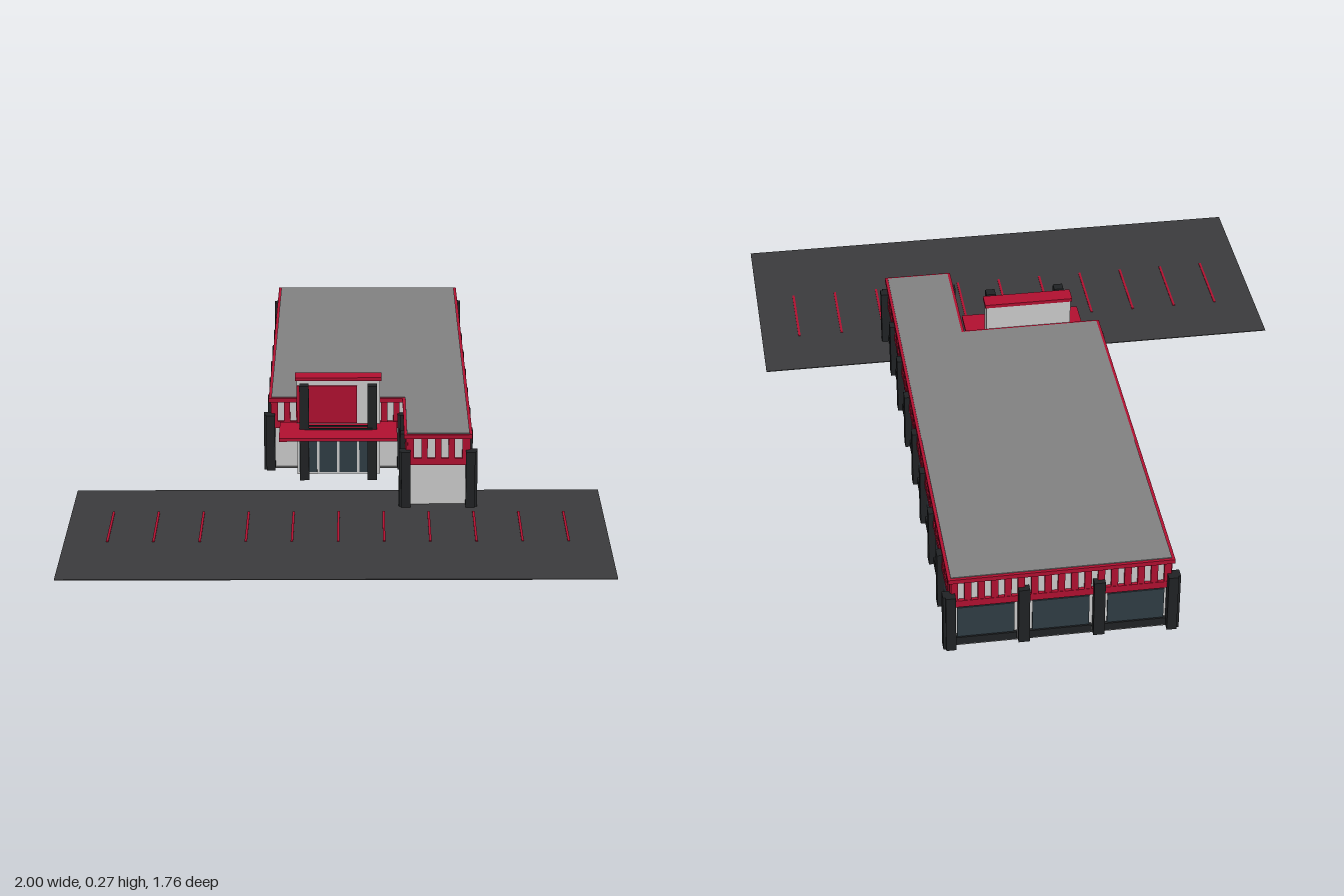
import * as THREE from 'three';

const mat = (color) => new THREE.MeshStandardMaterial({ color, side: THREE.DoubleSide });
const grey = mat(0xcccccc), red = mat(0xb01030), black = mat(0x202224);
const glass = mat(0x2f3d44), roofGrey = mat(0x808080), asphalt = mat(0x3a3a3c);

// Axis-aligned box given by its min and max corners
function box(parent, name, material, [x0, y0, z0], [x1, y1, z1]) {
  const m = new THREE.Mesh(new THREE.BoxGeometry(x1 - x0, y1 - y0, z1 - z0), material);
  m.position.set((x0 + x1) / 2, (y0 + y1) / 2, (z0 + z1) / 2);
  m.name = name;
  parent.add(m);
  return m;
}

// L-shaped plan (x, z), inset by i, counter-clockwise from the front left corner
const plan = (i) => [
  [-0.202 + i, 0.251 - i], [1.058 - i, 0.251 - i], [1.058 - i, -0.27 + i],
  [0.073 + i, -0.27 + i], [0.073 + i, 0.079 + i], [-0.202 + i, 0.079 + i],
];

// Slab with the L-shaped plan between two heights
function slab(parent, name, material, inset, y0, y1) {
  const shape = new THREE.Shape(plan(inset).map(([x, z]) => new THREE.Vector2(x, -z)));
  const geo = new THREE.ExtrudeGeometry(shape, { depth: y1 - y0, bevelEnabled: false });
  geo.rotateX(-Math.PI / 2).translate(0, y0, 0);
  const m = new THREE.Mesh(geo, material);
  m.name = name;
  parent.add(m);
}

// One facade: local x runs along the wall, local z points outwards
function facade(parent, name, from, to, bays, glazed) {
  const g = new THREE.Group();
  g.name = name;
  const dx = to[0] - from[0], dz = to[1] - from[1], len = Math.hypot(dx, dz);
  g.position.set(from[0], 0, from[1]);
  g.rotation.y = Math.atan2(-dz, dx);
  const w = len / bays;
  for (let i = 0; i < bays; i++) {
    const x0 = i * w + 0.015, x1 = (i + 1) * w - 0.015;
    if (glazed) {
      box(g, 'plinth', black, [x0, 0, -0.014], [x1, 0.022, -0.004]);
      box(g, 'window', glass, [x0 + 0.006, 0.022, -0.014], [x1 - 0.006, 0.106, -0.008]);
    }
  }
  // Red fascia with upright slats
  box(g, 'fasciaRail', red, [0.012, 0.112, -0.014], [len - 0.012, 0.13, -0.004]);
  const slats = Math.round(len / 0.0314);
  for (let i = 0; i < slats; i++) {
    const x = ((i + 0.5) * len) / slats;
    box(g, 'slat', red, [x - 0.008, 0.13, -0.014], [x + 0.008, 0.186, -0.005]);
  }
  for (let i = 0; i <= bays; i++) {
    box(g, 'pilaster', black, [i * w - 0.013, 0, -0.016], [i * w + 0.013, 0.152, 0.007]);
  }
  parent.add(g);
}

export function createModel() {
  const model = new THREE.Group();
  model.name = 'buildingWithParking';
  const site = new THREE.Group();
  site.name = 'site';
  site.rotation.y = 0.67;
  model.add(site);

  // Parking lot and bay lines
  box(site, 'parkingLot', asphalt, [-0.674, 0.002, -0.758], [-0.093, 0.004, 0.58]);
  for (let i = 0; i < 11; i++) {
    const z = -0.652 + i * 0.1132;
    box(site, 'parkingLine', red, [-0.44, 0.003, z - 0.003], [-0.245, 0.006, z + 0.003]);
  }

  // Building body
  const building = new THREE.Group();
  building.name = 'building';
  site.add(building);
  slab(building, 'floor', roofGrey, 0.004, 0, 0.002);
  slab(building, 'walls', grey, 0.012, 0.002, 0.186);
  slab(building, 'roofTrim', red, 0, 0.184, 0.195);
  slab(building, 'roof', roofGrey, 0.007, 0.19, 0.197);

  // Facades in plan order
  const p = plan(0);
  [['frontFacade', 8, true], ['endFacade', 3, true], ['backFacade', 7, true],
    ['entranceFacade', 2, false], ['wingInnerFacade', 2, true], ['wingEndFacade', 1, false],
  ].forEach(([name, bays, glazed], i) => facade(building, name, p[i], p[(i + 1) % 6], bays, glazed));

  // Entrance tower
  const entrance = new THREE.Group();
  entrance.name = 'entrance';
  site.add(entrance);
  box(entrance, 'tower', grey, [0.034, 0, -0.196], [0.07, 0.26, 0.02]);
  box(entrance, 'towerRoof', red, [0.03, 0.258, -0.2], [0.073, 0.267, 0.024]);
  box(entrance, 'towerPanel', red, [0.03, 0.143, -0.196], [0.036, 0.245, -0.04]);
  for (let i = 0; i < 4; i++) {
    const z = -0.19 + i * 0.052;
    box(entrance, 'door', glass, [0.031, 0.006, z], [0.036, 0.118, z + 0.046]);
  }

  // Canopy with its two tall posts and tie rods
  box(entrance, 'canopy', red, [-0.078, 0.131, -0.24], [0.047, 0.14, 0.064]);
  for (const z of [-0.176, 0]) {
    box(entrance, 'post', black, [-0.013, 0, z - 0.012], [0.011, 0.258, z + 0.012]);
  }
  for (const x of [-0.012, 0.01]) {
    box(entrance, 'tieRod', black, [x - 0.002, 0.14, -0.176], [x + 0.002, 0.144, 0]);
  }
  return model;
}
